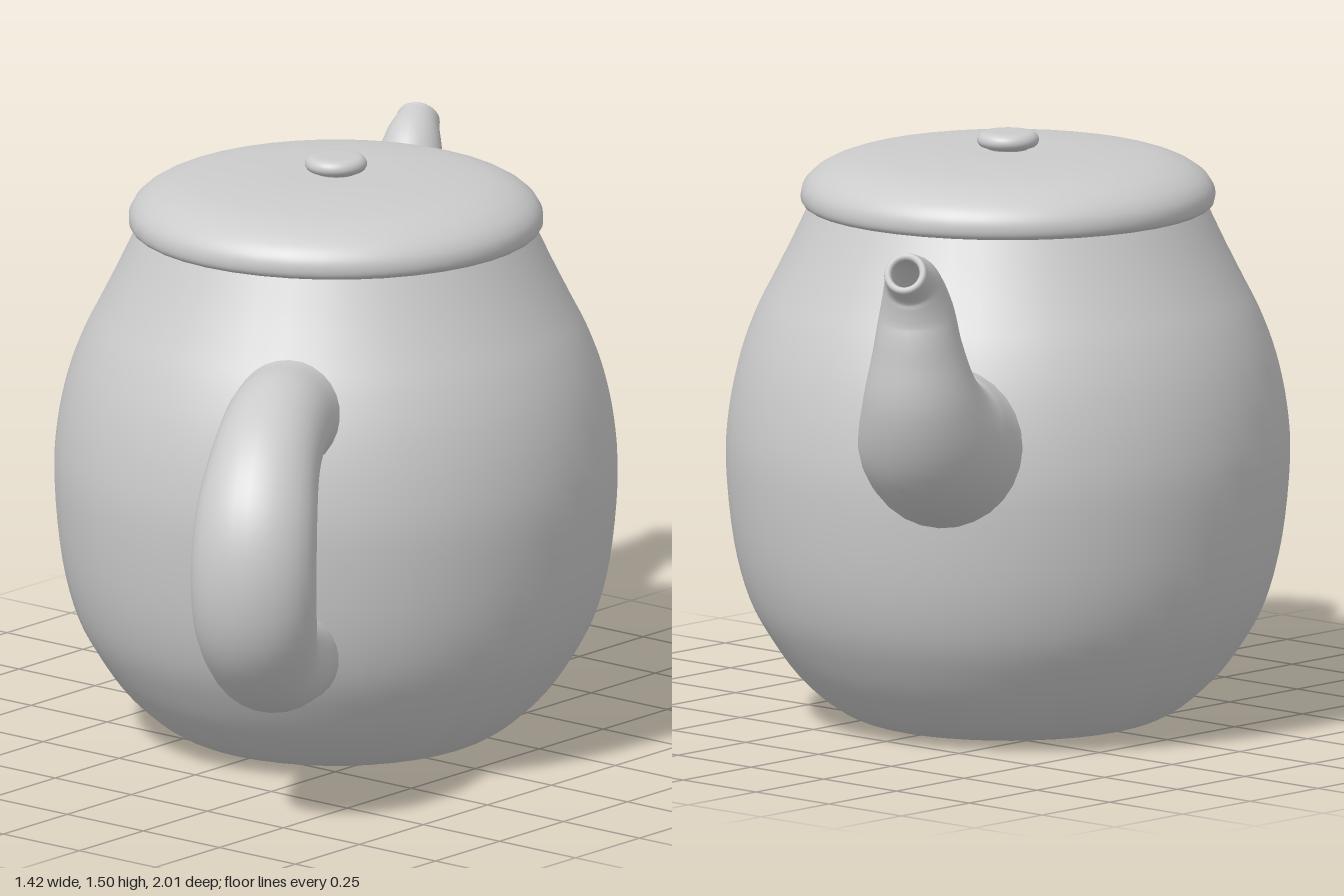
import * as THREE from 'three';

const material = new THREE.MeshStandardMaterial({ color: 0xcccccc, side: THREE.DoubleSide });
const AXIS_Z = -0.05; // the pot's own axis sits slightly behind the origin
const TURN = 1.07; // heading of the handle and spout around that axis

function addMesh(parent, name, geometry) {
  const mesh = new THREE.Mesh(geometry, material);
  mesh.name = name;
  parent.add(mesh);
  return mesh;
}

// Smooth lathe through [radius, height] points, starting at the bottom.
function lathe(points, steps) {
  const curve = new THREE.SplineCurve(points.map(([r, y]) => new THREE.Vector2(r, y)));
  const profile = curve.getPoints(steps);
  profile.forEach((p) => { p.x = Math.max(p.x, 0); });
  return new THREE.LatheGeometry(profile, 40);
}

// Elliptical sweep in the x-y plane; stations are [x, y, in-plane radius, sideways radius].
function sweep(stations, steps = 40, sides = 28) {
  const path = new THREE.CatmullRomCurve3(stations.map(([x, y]) => new THREE.Vector3(x, y, 0)));
  const radii = new THREE.SplineCurve(stations.map(([, , a, b]) => new THREE.Vector2(a, b)));
  const positions = [], index = [];
  for (let i = 0; i <= steps; i++) {
    const c = path.getPoint(i / steps), t = path.getTangent(i / steps), r = radii.getPoint(i / steps);
    for (let j = 0; j < sides; j++) {
      const angle = (j / sides) * Math.PI * 2, k = Math.cos(angle) * r.x;
      positions.push(c.x - t.y * k, c.y + t.x * k, Math.sin(angle) * r.y);
      if (i < steps) {
        const a = i * sides + j, b = i * sides + ((j + 1) % sides);
        index.push(a, b, a + sides, b, b + sides, a + sides);
      }
    }
  }
  const geometry = new THREE.BufferGeometry();
  geometry.setAttribute('position', new THREE.Float32BufferAttribute(positions, 3));
  geometry.setIndex(index);
  geometry.computeVertexNormals();
  return { geometry, path };
}

export function createModel() {
  const model = new THREE.Group();
  model.name = 'teapot';
  const pot = new THREE.Group();
  pot.name = 'pot';
  pot.position.z = AXIS_Z;
  model.add(pot);

  // Rounded body with a flat foot
  addMesh(pot, 'body', lathe([
    [0, 0], [0.2, 0], [0.34, 0.003], [0.43, 0.035], [0.52, 0.11], [0.59, 0.2], [0.65, 0.31], [0.69, 0.46],
    [0.71, 0.66], [0.702, 0.8], [0.675, 0.93], [0.635, 1.04], [0.59, 1.13], [0.545, 1.22], [0.498, 1.32],
  ], 56));

  // Low domed lid with a rolled rim
  addMesh(pot, 'lid', lathe([
    [0, 1.312], [0.3, 1.312], [0.48, 1.312], [0.512, 1.315], [0.522, 1.335], [0.516, 1.365], [0.49, 1.395],
    [0.44, 1.422], [0.36, 1.441], [0.2, 1.454], [0, 1.455],
  ], 50));

  // Small button knob
  addMesh(pot, 'knob', lathe([
    [0.05, 1.445], [0.052, 1.458], [0.07, 1.464], [0.078, 1.477], [0.073, 1.492], [0.055, 1.5], [0, 1.5],
  ], 30));

  // Thick C-shaped handle, ends buried in the body
  const handle = addMesh(pot, 'handle', sweep([
    [0.5, 0.97, 0.16, 0.16], [0.62, 0.985, 0.138, 0.14], [0.75, 0.99, 0.132, 0.135], [0.9, 0.94, 0.13, 0.14],
    [1.015, 0.82, 0.125, 0.155], [1.05, 0.68, 0.122, 0.16], [1.02, 0.54, 0.125, 0.155],
    [0.92, 0.44, 0.13, 0.14], [0.76, 0.385, 0.132, 0.135], [0.64, 0.375, 0.138, 0.14], [0.5, 0.375, 0.16, 0.16],
  ], 60).geometry);
  handle.rotation.y = -TURN;

  // Curved spout opposite the handle
  const spout = new THREE.Group();
  spout.name = 'spout';
  spout.rotation.y = Math.PI - TURN;
  pot.add(spout);
  const stations = [
    [0.55, 0.8, 0.23], [0.68, 0.815, 0.205], [0.8, 0.865, 0.185], [0.885, 0.97, 0.15],
    [0.92, 1.1, 0.115], [0.935, 1.2, 0.095], [0.98, 1.28, 0.073], [1.05, 1.318, 0.054],
  ];
  const outer = sweep(stations.map(([x, y, r]) => [x, y, r, r]));
  addMesh(spout, 'spoutOuter', outer.geometry);
  addMesh(spout, 'spoutBore', sweep(stations.map(([x, y, r]) => [x, y, r * 0.68, r * 0.68])).geometry);

  // Rounded lip joining the outside of the spout to its bore
  const lip = addMesh(spout, 'spoutLip', new THREE.TorusGeometry(0.0455, 0.0095, 10, 28));
  lip.position.copy(outer.path.getPoint(1));
  lip.quaternion.setFromUnitVectors(new THREE.Vector3(0, 0, 1), outer.path.getTangent(1));

  return model;
}
